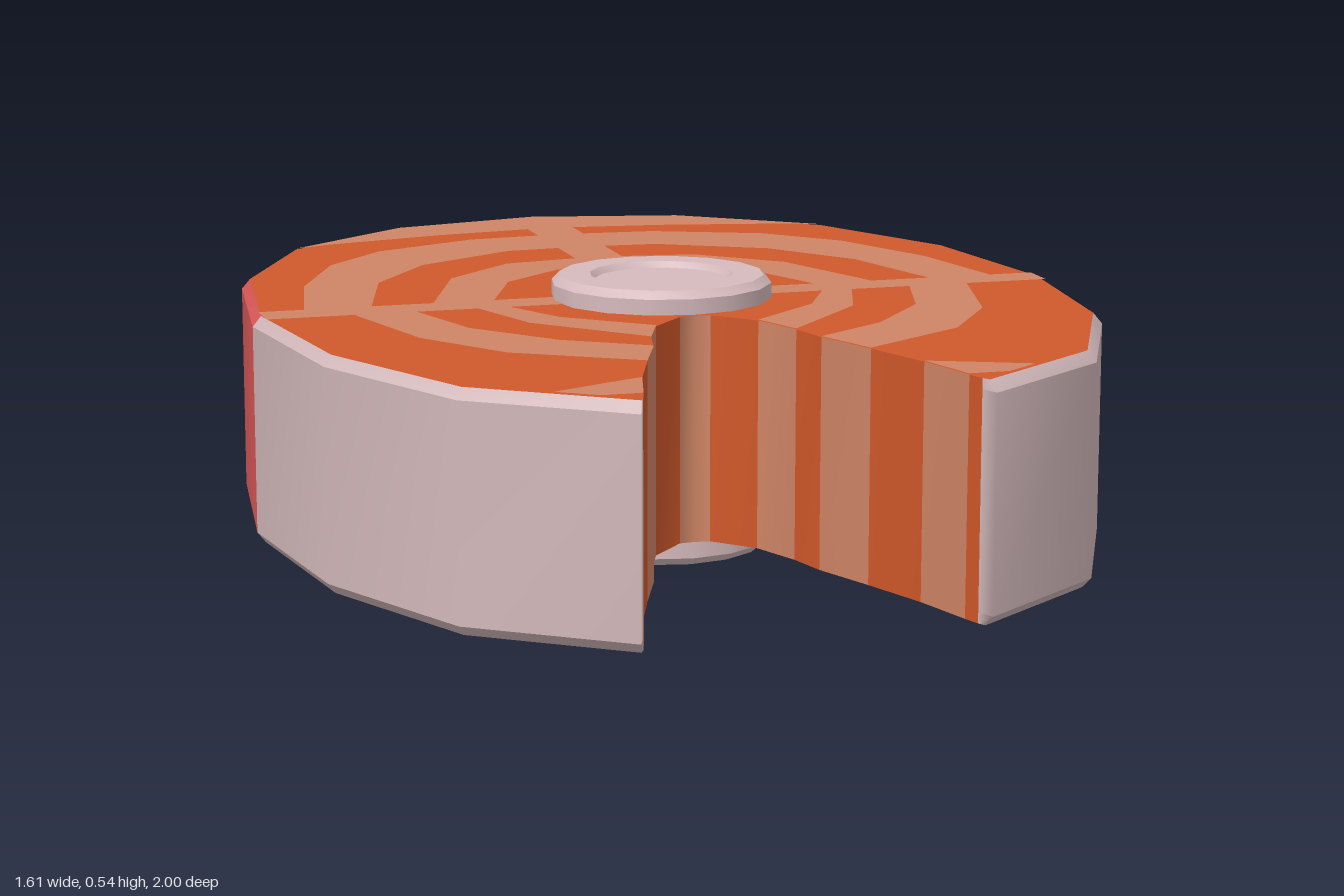
import * as THREE from 'three';
import { toCreasedNormals } from 'three/addons/utils/BufferGeometryUtils.js';

const Y0 = 0.05, Y1 = 0.49, BEVEL = 0.02, CZ = 0.03;

const material = (name, color) => {
  const m = new THREE.MeshStandardMaterial({ color });
  m.name = name;
  return m;
};

// Right half of the symmetric outline, as [x, z], from notch tip round to the back
const skinHalf = [
  [0.306, 0.965], [0.32, 1.0], [0.59, 0.8], [0.75, 0.45], [0.803, CZ],
  [0.75, -0.385], [0.59, -0.72], [0.32, -0.93], [0, -1],
];
// Notch wall from its middle to the tip; the third value is 1 where the next stretch is pale
const notchHalf = [
  [0, 0.26, 1], [0.03, 0.263, 0], [0.1, 0.34, 1], [0.14, 0.445, 0], [0.16, 0.53, 1],
  [0.21, 0.66, 0], [0.26, 0.8, 1], [0.295, 0.93, 0], [0.306, 0.965, 0],
];

const mirrorX = (pts) => pts.map(([x, z]) => [-x, z]);
const inset = ([x, z], i, all) =>
  i === 0 || i === all.length - 1 ? [x, z] : [x * 0.98, CZ + (z - CZ) * 0.98];

// Upright strip between a lower and an upper path, with one material group per segment
function strip(low, yLow, high, yHigh, materialIndex) {
  const pos = [], index = [];
  const g = new THREE.BufferGeometry();
  low.forEach(([x, z], i) => pos.push(x, yLow, z, high[i][0], yHigh, high[i][1]));
  for (let i = 0; i < low.length - 1; i++) {
    const a = i * 2;
    index.push(a, a + 2, a + 3, a, a + 3, a + 1);
    g.addGroup(i * 6, 6, materialIndex(i));
  }
  g.setAttribute('position', new THREE.Float32BufferAttribute(pos, 3));
  g.setIndex(index);
  g.computeVertexNormals();
  return g;
}

// Flat horizontal face, facing up or down
function face(pts, y, up) {
  const shape = new THREE.Shape(pts.map(([x, z]) => new THREE.Vector2(x, up ? -z : z)));
  return new THREE.ShapeGeometry(shape).rotateX(up ? -Math.PI / 2 : Math.PI / 2).translate(0, y, 0);
}

// Pale fat bands on the right half of each cut face
const fatBands = {
  backFat: [[0, -0.98], [0.313, -0.911], [0.578, -0.705], [0.5, -0.735], [0.25, -0.79], [0.05, -0.815], [0, -0.815]],
  spineLine: [[0, -0.85], [0.05, -0.85], [0.05, -0.1], [0, -0.1]],
  crossLine: [[0.1, 0], [0.786, 0], [0.786, 0.08], [0.1, 0.08]],
  outerBackRing: [[0, -0.73], [0.2, -0.715], [0.42, -0.62], [0.55, -0.48], [0.65, -0.25], [0.7, 0.01],
    [0.57, 0.01], [0.5, -0.25], [0.37, -0.43], [0.16, -0.55], [0, -0.56]],
  innerBackRing: [[0, -0.43], [0.2, -0.4], [0.35, -0.26], [0.45, 0.01],
    [0.33, 0.01], [0.25, -0.19], [0.12, -0.3], [0, -0.32]],
  outerFrontRing: [[0.62, 0.07], [0.55, 0.34], [0.43, 0.52], [0.21, 0.66],
    [0.16, 0.53], [0.31, 0.43], [0.44, 0.27], [0.5, 0.07]],
  innerFrontRing: [[0.38, 0.07], [0.32, 0.25], [0.14, 0.445],
    [0.1, 0.34], [0.25, 0.21], [0.32, 0.07]],
  tipFat: [[0.26, 0.8], [0.33, 0.83], [0.44, 0.88], [0.37, 0.93], [0.295, 0.93]],
};

export function createModel() {
  const root = new THREE.Group();
  root.name = 'fishSteak';
  const flesh = material('orange flesh', 0xd0582a);
  const fat = material('pale fat', 0xcf8566);
  const red = material('red skin', 0xd95757);
  const belly = material('belly skin', 0xd2b8ba);
  const boneMat = material('bone', 0xd6babd);

  const add = (name, geometry, mat, parent = root) => {
    const mesh = new THREE.Mesh(geometry, mat);
    mesh.name = name;
    parent.add(mesh);
    return mesh;
  };

  // Skin: wall plus two small bevels, red at the back and pale towards the belly
  const outer = [...skinHalf, ...mirrorX(skinHalf.slice(0, -1)).reverse()];
  const inner = outer.map(inset);
  const skinIndex = (i) => (i < 4 || i >= outer.length - 5 ? 1 : 0);
  const skin = new THREE.Group();
  skin.name = 'skin';
  root.add(skin);
  add('skinWall', strip(outer, Y0 + BEVEL, outer, Y1 - BEVEL, skinIndex), [red, belly], skin);
  add('skinTopBevel', strip(outer, Y1 - BEVEL, inner, Y1, skinIndex), [red, belly], skin);
  add('skinBottomBevel', strip(inner, Y0, outer, Y0 + BEVEL, skinIndex), [red, belly], skin);

  // Notch wall, striped where the fat bands meet it
  const notch = [...mirrorX(notchHalf).reverse(), ...notchHalf.slice(1)];
  const n = notchHalf.length - 1;
  const notchIndex = (i) => notchHalf[i < n ? n - 1 - i : i - n][2];
  add('notchWall', strip(notch, Y0, notch, Y1, notchIndex), [flesh, fat]);

  // Cut faces with their fat bands
  const outline = [...inner, ...notch.slice(1, -1)];
  for (const up of [true, false]) {
    const side = new THREE.Group();
    side.name = up ? 'topCut' : 'bottomCut';
    root.add(side);
    add('fleshFace', face(outline, up ? Y1 : Y0, up), flesh, side);
    for (const [name, pts] of Object.entries(fatBands)) {
      const y = up ? Y1 + 0.002 : Y0 - 0.002;
      add(name + 'Left', face(pts, y, up), fat, side);
      add(name + 'Right', face(mirrorX(pts), y, up), fat, side);
    }
  }

  // Backbone with a shallow dish in both ends
  const half = [[0, 0.012], [0.13, 0.012], [0.14, 0], [0.2, 0], [0.215, 0.015]];
  const profile = [...half, ...half.map(([r, y]) => [r, 0.535 - y]).reverse()]
    .map(([r, y]) => new THREE.Vector2(r, y));
  const bone = add('backbone', toCreasedNormals(new THREE.LatheGeometry(profile, 16), 0.6), boneMat);
  bone.position.z = 0.035;

  return root;
}
